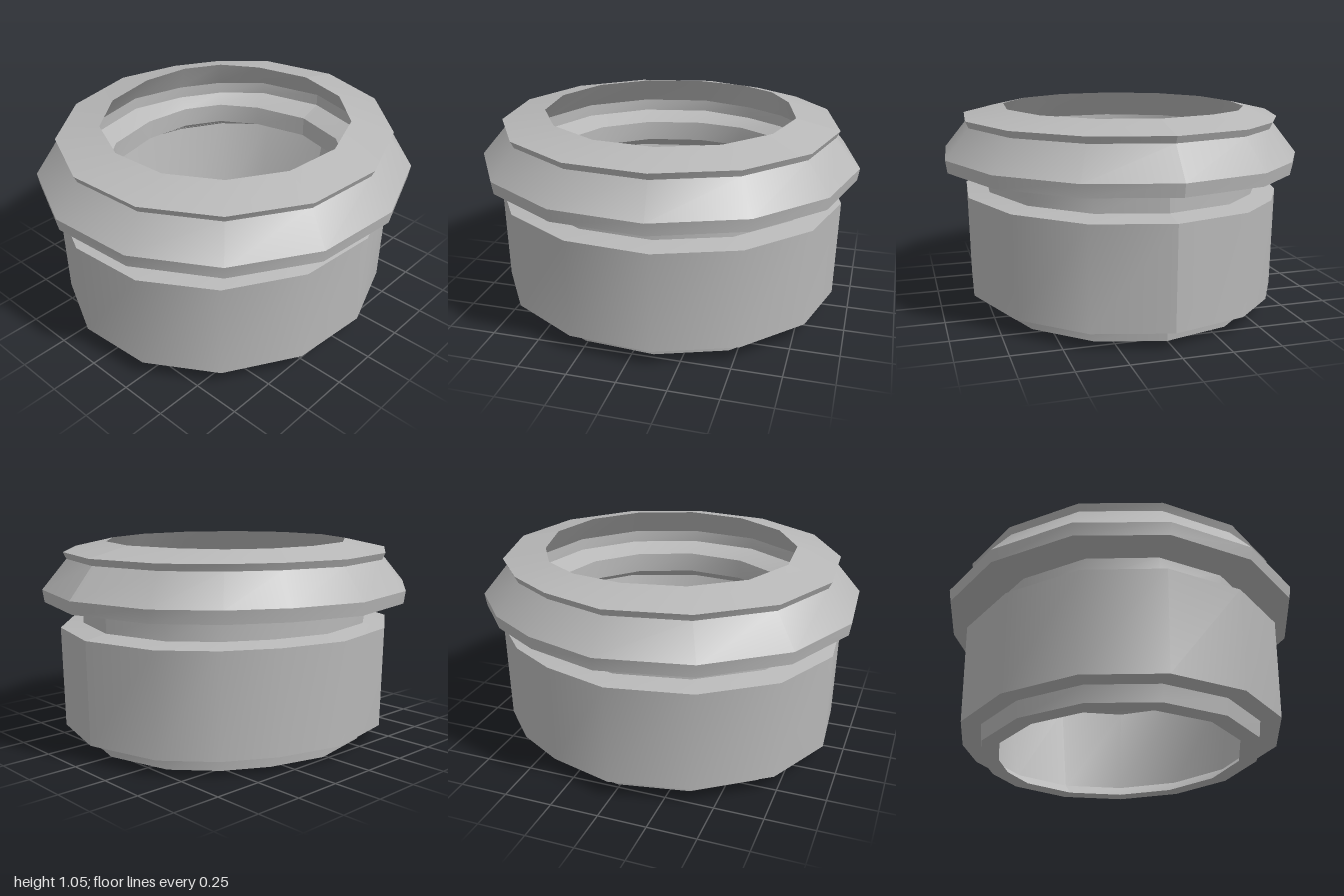
import * as THREE from 'three';

// Irregular 14-sided plan of the widest rim (x, z)
const rim = [
  [1, 0], [0.885, 0.44], [0.58, 0.78], [0.135, 0.953], [-0.335, 0.914],
  [-0.735, 0.67], [-0.97, 0.285], [-1, -0.17], [-0.81, -0.585],
  [-0.44, -0.865], [0.02, -0.957], [0.39, -0.85], [0.66, -0.69], [0.885, -0.44],
];
// The lower half is a little shallower; the bore is rounder at the back
const lower = rim.map(([x, z]) => [x, z * 0.963]);
const bore = rim.map(([x, z], i) => (i === 11 || i === 12 ? [x * 1.06, z * 1.06] : [x, z]));

// Sweeps a profile of [plan, scale, height] around the plans.
// Every band has its own vertices: smooth around, sharp between bands.
function sweep(profile) {
  const positions = [], indices = [];
  const sides = rim.length;
  for (let band = 0; band < profile.length - 1; band++) {
    const start = positions.length / 3;
    for (let i = 0; i <= sides; i++) {
      for (const [plan, scale, y] of [profile[band], profile[band + 1]]) {
        const [x, z] = plan[i % sides];
        positions.push(x * scale, y, z * scale);
      }
    }
    for (let i = 0; i < sides; i++) {
      const a = start + i * 2;
      indices.push(a, a + 1, a + 2, a + 1, a + 3, a + 2);
    }
  }
  const geometry = new THREE.BufferGeometry();
  geometry.setAttribute('position', new THREE.Float32BufferAttribute(positions, 3));
  geometry.setIndex(indices);
  geometry.computeVertexNormals();
  return geometry;
}

export function createModel() {
  const model = new THREE.Group();
  model.name = 'ringFitting';

  const metal = new THREE.MeshStandardMaterial({ color: 0xb8b8b8 });
  metal.name = 'grey metal';

  // Profiles run up the outside, over the top, down the inside, back out
  const parts = {
    foot: [[lower, 0.69, 0], [lower, 0.79, 0], [lower, 0.8, 0.085]],
    body: [[lower, 0.8, 0.085], [lower, 0.91, 0.085], [lower, 0.92, 0.61], [lower, 0.8, 0.63]],
    neck: [[lower, 0.8, 0.63], [lower, 0.8, 0.745]],
    flange: [[lower, 0.8, 0.745], [rim, 0.99, 0.745], [rim, 1, 0.81], [rim, 0.87, 0.965]],
    lip: [[rim, 0.87, 0.965], [rim, 0.887, 1], [bore, 0.66, 1.05]],
    upperGroove: [[bore, 0.66, 1.05], [rim, 0.78, 0.9], [rim, 0.78, 0.835], [bore, 0.66, 0.79]],
    innerCollar: [[bore, 0.66, 0.79], [bore, 0.66, 0.68], [lower, 0.87, 0.59]],
    lowerBore: [[lower, 0.87, 0.59], [lower, 0.77, 0.065], [lower, 0.69, 0]],
  };
  for (const [name, profile] of Object.entries(parts)) {
    const mesh = new THREE.Mesh(sweep(profile), metal);
    mesh.name = name;
    model.add(mesh);
  }
  return model;
}
